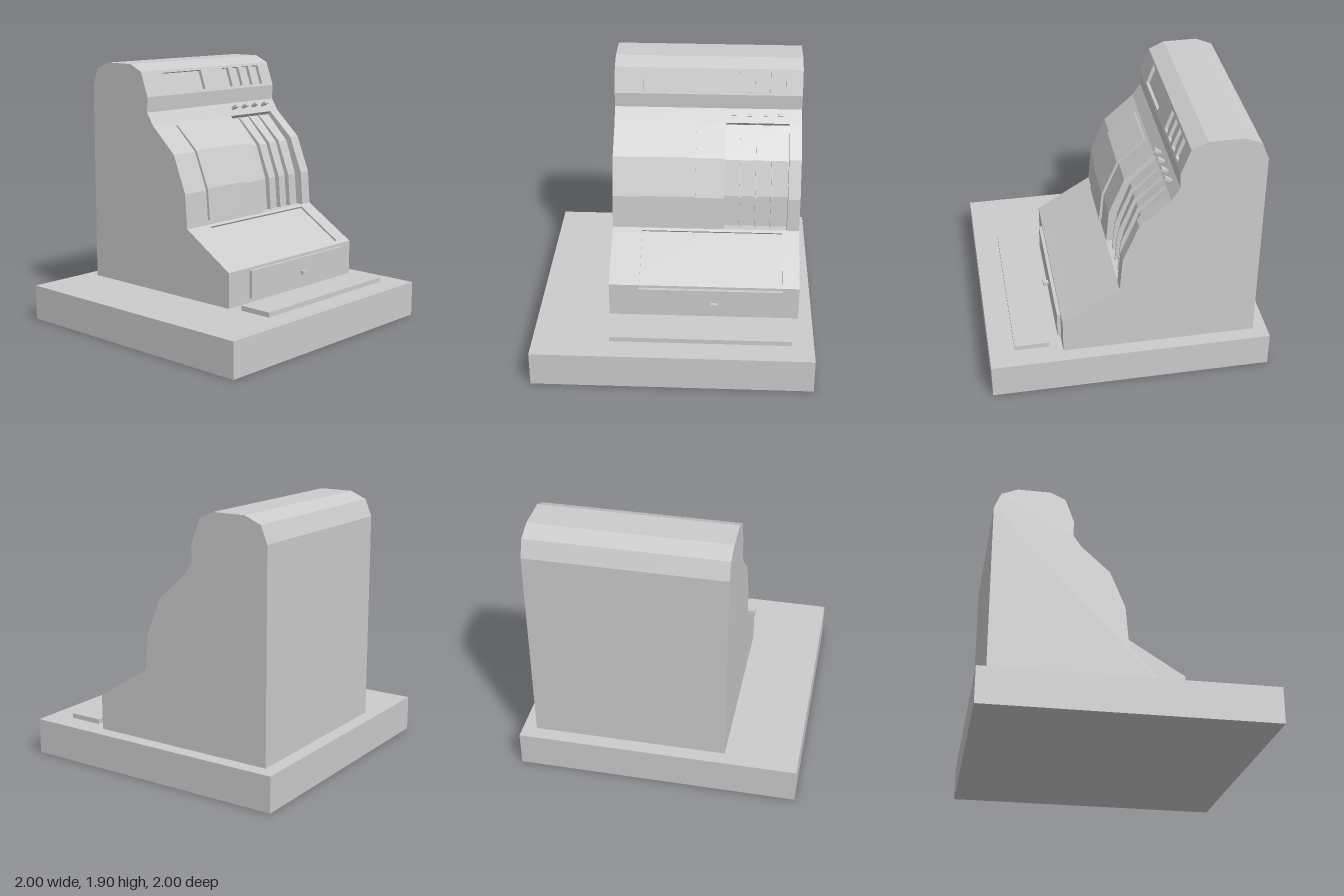
import * as THREE from 'three';

const material = new THREE.MeshStandardMaterial({ color: 0xcccccc, flatShading: true });

export function createModel() {
  const model = new THREE.Group();

  const add = (name, geometry, parent = model) => {
    const mesh = new THREE.Mesh(geometry, material);
    mesh.name = name;
    parent.add(mesh);
    return mesh;
  };
  // box given by its minimum and maximum on each axis
  const box = (name, [x0, x1], [y0, y1], [z0, z1]) =>
    add(name, new THREE.BoxGeometry(x1 - x0, y1 - y0, z1 - z0))
      .position.set((x0 + x1) / 2, (y0 + y1) / 2, (z0 + z1) / 2);
  // side profile (x, y) swept from z0 to z1
  const slab = (name, points, z0, z1) => {
    const shape = new THREE.Shape(points.map(([x, y]) => new THREE.Vector2(x, y)));
    const geometry = new THREE.ExtrudeGeometry(shape, { depth: z1 - z0, bevelEnabled: false });
    add(name, geometry).position.z = z0;
  };
  // slope from a down to b: length, downward direction, outward normal
  const slope = (a, b) => {
    const length = Math.hypot(b[0] - a[0], b[1] - a[1]);
    const t = [(b[0] - a[0]) / length, (b[1] - a[1]) / length];
    return { length, t, n: [-t[1], t[0]] };
  };
  // profile points that leave a notch of the given depth between a and b
  const notch = (a, b, d) => {
    const { n } = slope(a, b);
    return [a, [a[0] - n[0] * d, a[1] - n[1] * d], [b[0] - n[0] * d, b[1] - n[1] * d], b];
  };
  // plate filling such a notch, with rectangular windows [z0, z1, top fraction, bottom fraction]
  const facePlate = (name, a, b, d, z0, z1, windows) => {
    const { length, t, n } = slope(a, b);
    const rect = (Type, za, zb, top, bottom) => new Type([
      [-zb, -bottom * length], [-za, -bottom * length], [-za, -top * length], [-zb, -top * length],
    ].map(([x, y]) => new THREE.Vector2(x, y)));
    const shape = rect(THREE.Shape, z0, z1, 0, 1);
    for (const w of windows) shape.holes.push(rect(THREE.Path, ...w));
    const geometry = new THREE.ExtrudeGeometry(shape, { depth: d, bevelEnabled: false });
    geometry.applyMatrix4(new THREE.Matrix4().makeBasis(
      new THREE.Vector3(0, 0, -1),
      new THREE.Vector3(-t[0], -t[1], 0),
      new THREE.Vector3(n[0], n[1], 0),
    ).setPosition(a[0] - n[0] * d, a[1] - n[1] * d, 0));
    add(name, geometry);
  };

  // counter block and the long tray in front of the drawer
  box('base', [-1, 1], [0, 0.255], [-1, 1]);
  box('frontTray', [0.57, 0.82], [0.25, 0.29], [-0.84, 0.45]);

  // cabinet: same profile in three slices, the middle one hollowed for the keys
  const zBack = -0.9, zFront = 0.48, zKeys0 = -0.81, zKeys1 = -0.345;
  const panel = [[-0.38, 1.85], [-0.315, 1.67]];
  const ledge = [[0.08, 0.76], [0.48, 0.51]];
  const upper = [
    [-0.9, 0.25], [-0.9, 1.73], [-0.85, 1.85], [-0.73, 1.9], [-0.49, 1.9],
    ...notch(...panel, 0.025), [-0.32, 1.56], [-0.26, 1.47],
  ];
  const curve = [[-0.05, 1.28], [0.06, 1.01]];
  const hollow = [[-0.283, 1.445], [-0.09, 1.25], [0, 1], [0.02, 0.76]];
  const lower = [...notch(...ledge, 0.015), [0.48, 0.25]];
  slab('cabinetRight', [...upper, ...curve, ...lower], zKeys1, zFront);
  slab('cabinetKeySection', [...upper, ...hollow, ...lower], zKeys0, zKeys1);
  slab('cabinetLeft', [...upper, ...curve, ...lower], zBack, zKeys0);

  // display face with one wide and four narrow windows
  const columns = [-0.4, -0.515, -0.63, -0.745];
  facePlate('displayFace', ...panel, 0.025, zBack, zFront, [
    [-0.13, 0.27, 0.11, 0.89],
    ...columns.map((z) => [z - 0.035, z + 0.035, 0.11, 0.89]),
  ]);
  // sloping ledge with a shallow sunken panel
  facePlate('ledgeFace', ...ledge, 0.015, zBack, zFront, [[-0.775, 0.26, 0.05, 0.93]]);

  // raised cover following the curved front
  slab('frontCover', [
    [-0.25, 1.445], [-0.23, 1.46], [-0.035, 1.29], [0.076, 1.025],
    [0.097, 0.798], [0.07, 0.79], [0.04, 1.01], [-0.07, 1.26],
  ], -0.13, 0.265);

  // dividers between the key columns
  for (const z of [-0.46, -0.575, -0.69]) {
    slab('keyDivider', [
      [-0.275, 1.453], [-0.068, 1.265], [0.037, 1.005], [0.057, 0.765],
      [0.01, 0.765], [-0.01, 1], [-0.1, 1.24], [-0.293, 1.435],
    ], z - 0.006, z + 0.006);
  }

  // tilted levers above the columns
  for (const z of columns) {
    const lever = new THREE.Group();
    lever.name = 'lever';
    lever.position.set(-0.3, 1.515, z);
    lever.rotation.z = Math.PI / 6;
    add('leverStem', new THREE.BoxGeometry(0.06, 0.018, 0.02), lever).position.x = 0.015;
    add('leverTip', new THREE.BoxGeometry(0.04, 0.02, 0.034), lever).position.x = 0.045;
    model.add(lever);
  }

  // drawer
  box('drawerFront', [0.47, 0.505], [0.29, 0.49], [-0.78, 0.265]);
  box('drawerKnobStem', [0.5, 0.525], [0.375, 0.39], [-0.3, -0.27]);
  box('drawerKnob', [0.52, 0.545], [0.37, 0.397], [-0.31, -0.26]);

  return model;
}
